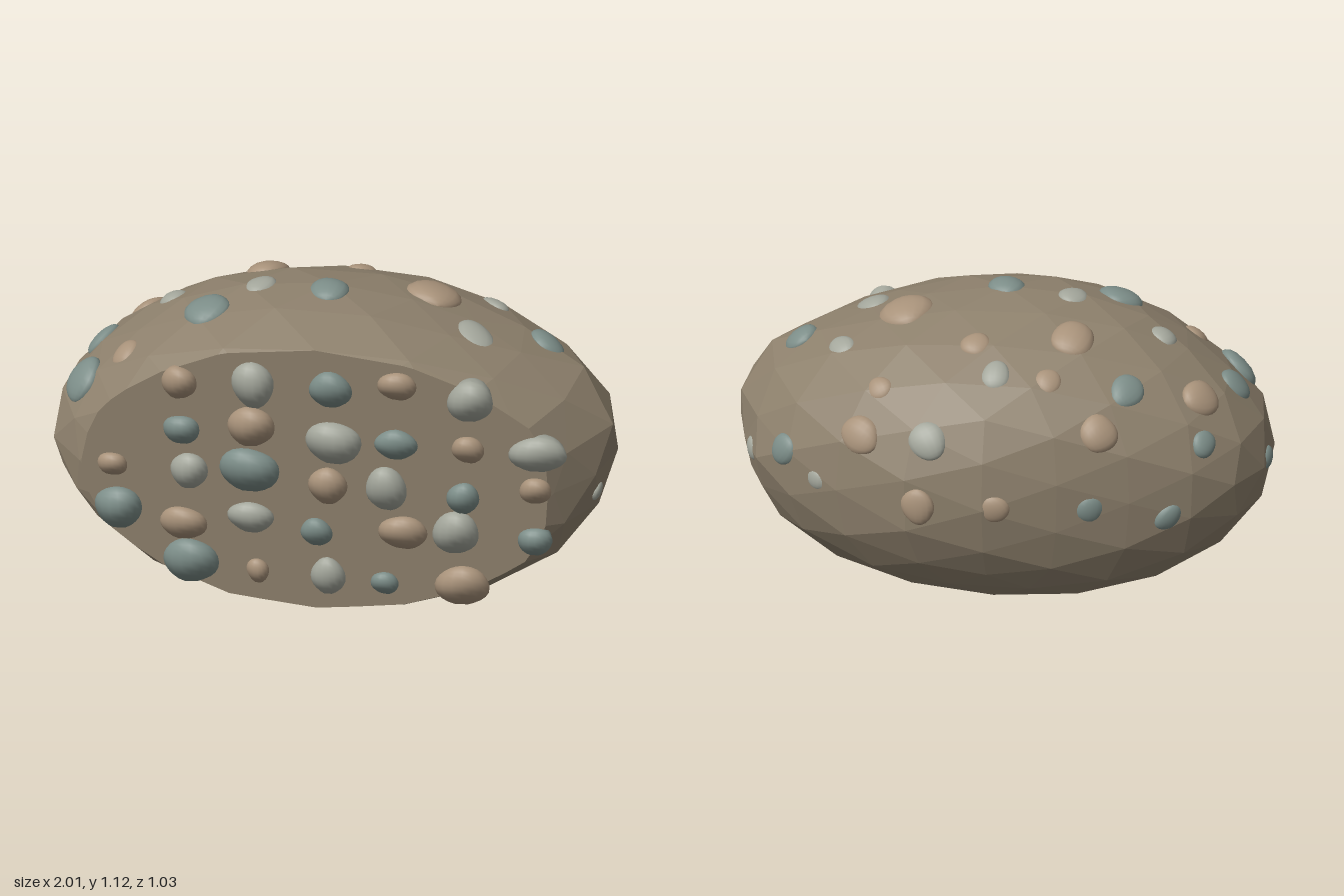
import * as THREE from 'three';

const CENTRE = new THREE.Vector3(0, 0.535, 0.16);
const FRONT = 0.511;
const mat = (color, extra = {}) => new THREE.MeshStandardMaterial({ color, ...extra });
const STONE = { T: mat(0xa8927a), G: mat(0xa3a69b), B: mat(0x7c8d88) };

// Broad swells and dents of the rock: unit direction, amount, sharpness
const SWELLS = [
  [-0.45, 0.6, -0.62, -0.03], [0.5, 0.85, 0.05, -0.07], [-0.75, 0.62, 0.1, -0.055],
  [0.4, 0, -0.92, 0.035], [-0.4, 0, -0.9, -0.075], [-0.96, -0.05, 0.28, 0.035], [0.87, 0, -0.4, -0.045],
  [-0.8, 0, 0.6, -0.055], [0.82, 0.05, 0.57, -0.07], [0.1, 0.1, -1, -0.012], [0, -0.6, -0.8, -0.04],
  [0.75, -0.65, 0, 0.055], [-0.6, -0.8, 0.1, 0.03], [0, 0.83, 0.55, -0.01], [-0.15, -0.85, 0.5, 0.02],
  [0.58, 0, -0.8, -0.04, 14], [0.84, 0, -0.55, 0.05, 14], [0.93, 0.36, 0.05, 0.055, 10],
  [-1, 0, 0, -0.025, 14], [0, 0.92, -0.4, -0.022], [0.4, -0.9, 0.1, -0.025, 10], [1, 0, 0, 0.01, 14],
].map(([x, y, z, a, k = 7]) => ({ d: new THREE.Vector3(x, y, z).normalize(), a, k }));

const radiusY = (y) => (y > 0 ? 0.575 : 0.61);

// Rock surface point for a unit direction
function surface(d) {
  let r = 1.008;
  for (const s of SWELLS) r += s.a * Math.exp(-s.k * d.distanceToSquared(s.d));
  return new THREE.Vector3(d.x, d.y * radiusY(d.y), d.z * 0.67).multiplyScalar(r).add(CENTRE);
}

// Split triangles at a plane and draw the part beyond it back onto the plane
function flatten(tris, normal, limit) {
  const out = [];
  const height = (p) => p.dot(normal) - limit;
  const base = height(CENTRE);
  for (const tri of tris) {
    for (const side of [-1, 1]) {
      const poly = [];
      tri.forEach((a, i) => {
        const b = tri[(i + 1) % 3];
        const ha = height(a), hb = height(b);
        if (ha * side >= 0) poly.push(a.clone());
        if (ha * hb < 0) poly.push(a.clone().lerp(b, ha / (ha - hb)));
      });
      if (side > 0) {
        for (const p of poly) {
          const s = base / (base - height(p));
          p.sub(CENTRE).multiplyScalar(s).add(CENTRE);
        }
      }
      for (let i = 1; i + 1 < poly.length; i++) out.push([poly[0], poly[i], poly[i + 1]]);
    }
  }
  return out;
}

function makeRock() {
  const pos = new THREE.IcosahedronGeometry(1, 3).attributes.position;
  let tris = [];
  for (let i = 0; i < pos.count; i += 3) {
    tris.push([0, 1, 2].map((k) => surface(new THREE.Vector3().fromBufferAttribute(pos, i + k))));
  }
  tris = flatten(tris, new THREE.Vector3(0, 0, 1), FRONT);
  tris = flatten(tris, new THREE.Vector3(0, -1, 0), 0);
  const geo = new THREE.BufferGeometry().setFromPoints(tris.flat());
  geo.computeVertexNormals();
  const rock = new THREE.Mesh(geo, mat(0x8d806c, { flatShading: true }));
  rock.name = 'rock';
  return rock;
}

// Slightly lumpy rounded pebble
function pebbleGeometry(rx, ry, rz, seed) {
  const geo = new THREE.SphereGeometry(1, 16, 12);
  const p = geo.attributes.position;
  for (let i = 0; i < p.count; i++) {
    const k = 1 + 0.05 * Math.sin(3 * p.getX(i) + seed) * Math.cos(2.5 * p.getY(i) + seed * 2);
    p.setXYZ(i, p.getX(i) * k, p.getY(i) * k, p.getZ(i) * k);
  }
  geo.scale(rx, ry, rz);
  geo.computeVertexNormals();
  return geo;
}

// Pebbles in the flat face: x, y, half width, half height, stone
const FACE = [
  [-0.46, 0.87, 0.06, 0.06, 'T'], [-0.21, 0.88, 0.07, 0.085, 'G'], [0.05, 0.88, 0.07, 0.065, 'B'],
  [0.27, 0.91, 0.065, 0.05, 'T'], [0.51, 0.87, 0.075, 0.075, 'G'],
  [-0.46, 0.69, 0.065, 0.055, 'B'], [-0.22, 0.72, 0.08, 0.075, 'T'], [0.06, 0.68, 0.095, 0.08, 'G'],
  [0.27, 0.69, 0.07, 0.055, 'B'], [0.51, 0.69, 0.055, 0.05, 'T'], [0.74, 0.69, 0.095, 0.065, 'G'],
  [-0.71, 0.535, 0.055, 0.045, 'T'], [-0.44, 0.53, 0.065, 0.07, 'G'], [-0.23, 0.55, 0.105, 0.085, 'B'],
  [0.04, 0.51, 0.065, 0.07, 'T'], [0.24, 0.515, 0.07, 0.085, 'G'], [0.5, 0.5, 0.055, 0.06, 'B'],
  [0.74, 0.55, 0.055, 0.05, 'T'],
  [-0.7, 0.36, 0.085, 0.085, 'B'], [-0.47, 0.315, 0.085, 0.065, 'T'], [-0.23, 0.36, 0.08, 0.06, 'G'],
  [0, 0.32, 0.055, 0.055, 'B'], [0.3, 0.345, 0.085, 0.065, 'T'], [0.48, 0.36, 0.08, 0.085, 'G'],
  [0.75, 0.35, 0.06, 0.055, 'B'],
  [-0.45, 0.16, 0.1, 0.09, 'B'], [-0.21, 0.14, 0.04, 0.05, 'T'], [0.04, 0.14, 0.06, 0.075, 'G'],
  [0.24, 0.13, 0.05, 0.045, 'B'], [0.51, 0.145, 0.095, 0.08, 'T'],
];

// Pebbles on the rounded shell: x, y, z, radius, stone
const SHELL = [
  [0.19, 0.76, -0.43, 0.065, 'G'], [0.41, 0.735, -0.36, 0.065, 'T'], [-0.37, 0.78, -0.34, 0.07, 'T'],
  [-0.02, 0.95, -0.28, 0.05, 'G'], [-0.2, 0.94, -0.28, 0.048, 'T'], [0.35, 0.86, -0.265, 0.046, 'T'],
  [-0.455, 0.885, -0.215, 0.058, 'B'], [-0.71, 0.7, -0.21, 0.05, 'B'], [-0.66, 0.81, -0.095, 0.068, 'T'],
  [-0.26, 1.015, -0.095, 0.078, 'T'], [0.06, 0.99, -0.155, 0.055, 'T'], [0.52, 0.92, -0.075, 0.05, 'G'],
  [0.34, 1.03, 0.05, 0.098, 'T'], [0.7, 0.875, 0.095, 0.068, 'B'], [-0.77, 0.78, 0.095, 0.063, 'B'],
  [-0.53, 0.945, 0.085, 0.055, 'G'], [-0.24, 1.075, 0.155, 0.055, 'G'], [0, 1.1, 0.19, 0.07, 'B'],
  [-0.4, 1.03, 0.28, 0.082, 'B'], [0.49, 0.97, 0.24, 0.07, 'G'], [-0.81, 0.75, 0.32, 0.09, 'B'],
  [-0.66, 0.87, 0.335, 0.055, 'T'], [0.69, 0.61, -0.25, 0.056, 'B'], [0.57, 0.545, -0.33, 0.045, 'G'],
  [0.22, 0.535, -0.49, 0.058, 'T'], [-0.04, 0.54, -0.48, 0.052, 'T'], [-0.355, 0.52, -0.4, 0.055, 'B'],
  [-0.63, 0.455, -0.32, 0.048, 'B'], [-0.98, 0.54, 0.03, 0.046, 'B'],
  [0.87, 0.53, -0.11, 0.042, 'G'], [0.97, 0.43, 0.3, 0.036, 'G'],
];

export function createModel() {
  const model = new THREE.Group();
  model.name = 'pebbledRock';
  model.add(makeRock());

  // Face pebbles, ground flush with the cut
  const facePebbles = new THREE.Group();
  facePebbles.name = 'facePebbles';
  FACE.forEach(([x, y, rx, ry, stone], i) => {
    const geo = pebbleGeometry(rx, ry, Math.min(rx, ry) * 1.15, i);
    const p = geo.attributes.position;
    for (let k = 0; k < p.count; k++) p.setZ(k, Math.min(p.getZ(k), 0.004));
    const pebble = new THREE.Mesh(geo, STONE[stone]);
    pebble.name = 'facePebble';
    pebble.position.set(x, y, FRONT);
    facePebbles.add(pebble);
  });

  // Shell pebbles, half sunk and lying along the surface
  const shellPebbles = new THREE.Group();
  shellPebbles.name = 'shellPebbles';
  SHELL.forEach(([x, y, z, r, stone], i) => {
    const d = new THREE.Vector3(x, y, z).sub(CENTRE);
    const ry = radiusY(d.y);
    const normal = new THREE.Vector3(d.x, d.y / ry ** 2, d.z / 0.67 ** 2).normalize();
    d.set(d.x, d.y / ry, d.z / 0.67).normalize();
    const geo = pebbleGeometry(r, r * (1.05 + 0.12 * Math.sin(i * 2.4)), r * 0.5, i + 40);
    const pebble = new THREE.Mesh(geo, STONE[stone]);
    pebble.name = 'shellPebble';
    pebble.position.copy(surface(d)).addScaledVector(normal, -0.017);
    pebble.quaternion.setFromUnitVectors(new THREE.Vector3(0, 0, 1), normal);
    shellPebbles.add(pebble);
  });

  model.add(facePebbles, shellPebbles);
  return model;
}
